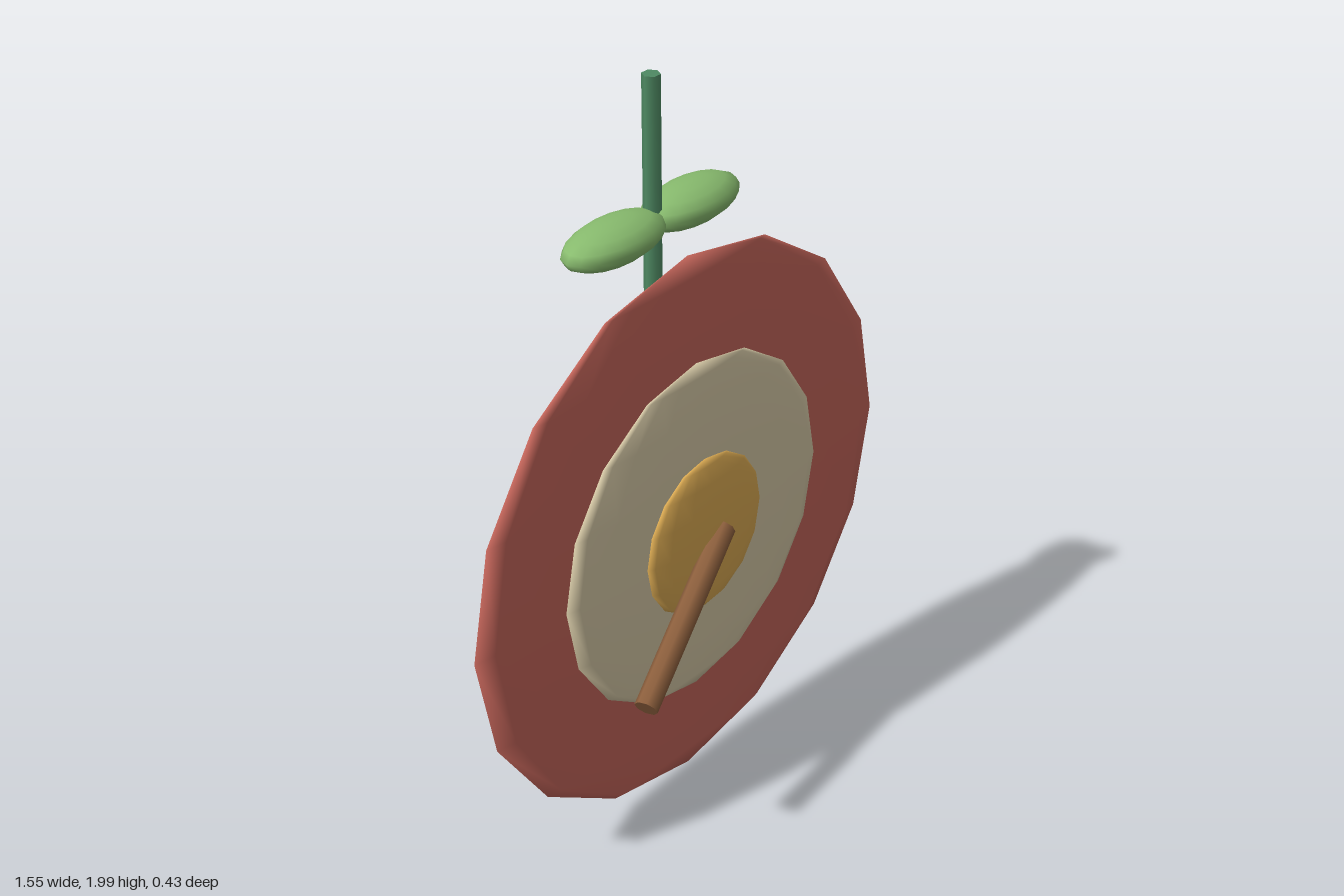
import * as THREE from 'three';

const paint = (name, color) => {
  const m = new THREE.MeshStandardMaterial({ color });
  m.name = name;
  return m;
};

export function createModel() {
  const model = new THREE.Group();
  model.name = 'fruitClock';
  const red = paint('skinRed', 0xc4655a);
  const cream = paint('fleshCream', 0xd6c9a6);
  const gold = paint('coreGold', 0xdbaa52);
  const brown = paint('stickBrown', 0x8b5e3c);
  const stemGreen = paint('stemGreen', 0x4f8a63);
  const leafGreen = paint('leafGreen', 0x88bb6e);

  const add = (name, geometry, material) => {
    const mesh = new THREE.Mesh(geometry, material);
    mesh.name = name;
    model.add(mesh);
    return mesh;
  };

  // Sphere squashed to the given half sizes
  const ellipsoid = (name, material, center, halfSize) => {
    const mesh = add(name, new THREE.SphereGeometry(1, 16, 8), material);
    mesh.position.set(...center);
    mesh.scale.set(...halfSize);
  };

  // Three flattened discs, stacked towards the front
  ellipsoid('skinDisc', red, [0, 0.784, -0.022], [0.777, 0.777, 0.033]);
  ellipsoid('fleshDisc', cream, [0, 0.784, 0.006], [0.488, 0.49, 0.031]);
  ellipsoid('coreDisc', gold, [0, 0.784, 0.035], [0.222, 0.225, 0.031]);

  // Slanted stick leaning out of the core
  const from = new THREE.Vector3(0.05, 0.787, 0.057);
  const to = new THREE.Vector3(-0.405, 0.538, 0.187);
  const axis = to.clone().sub(from);
  const stick = add('stick', new THREE.CylinderGeometry(0.031, 0.031, axis.length(), 8), brown);
  stick.position.copy(from).add(to).multiplyScalar(0.5);
  stick.quaternion.setFromUnitVectors(new THREE.Vector3(0, 1, 0), axis.normalize());

  // Upright stem behind the discs
  const stem = add('stem', new THREE.CylinderGeometry(0.0235, 0.0235, 0.85, 6), stemGreen);
  stem.position.set(0, 1.575, -0.132);
  stem.rotation.y = Math.PI / 2;

  // Mirrored pair of leaves
  for (const side of [-1, 1]) {
    ellipsoid(side > 0 ? 'leftLeaf' : 'rightLeaf', leafGreen,
      [side * 0.138, 1.62, -0.132], [0.167, 0.053, 0.083]);
  }
  return model;
}
